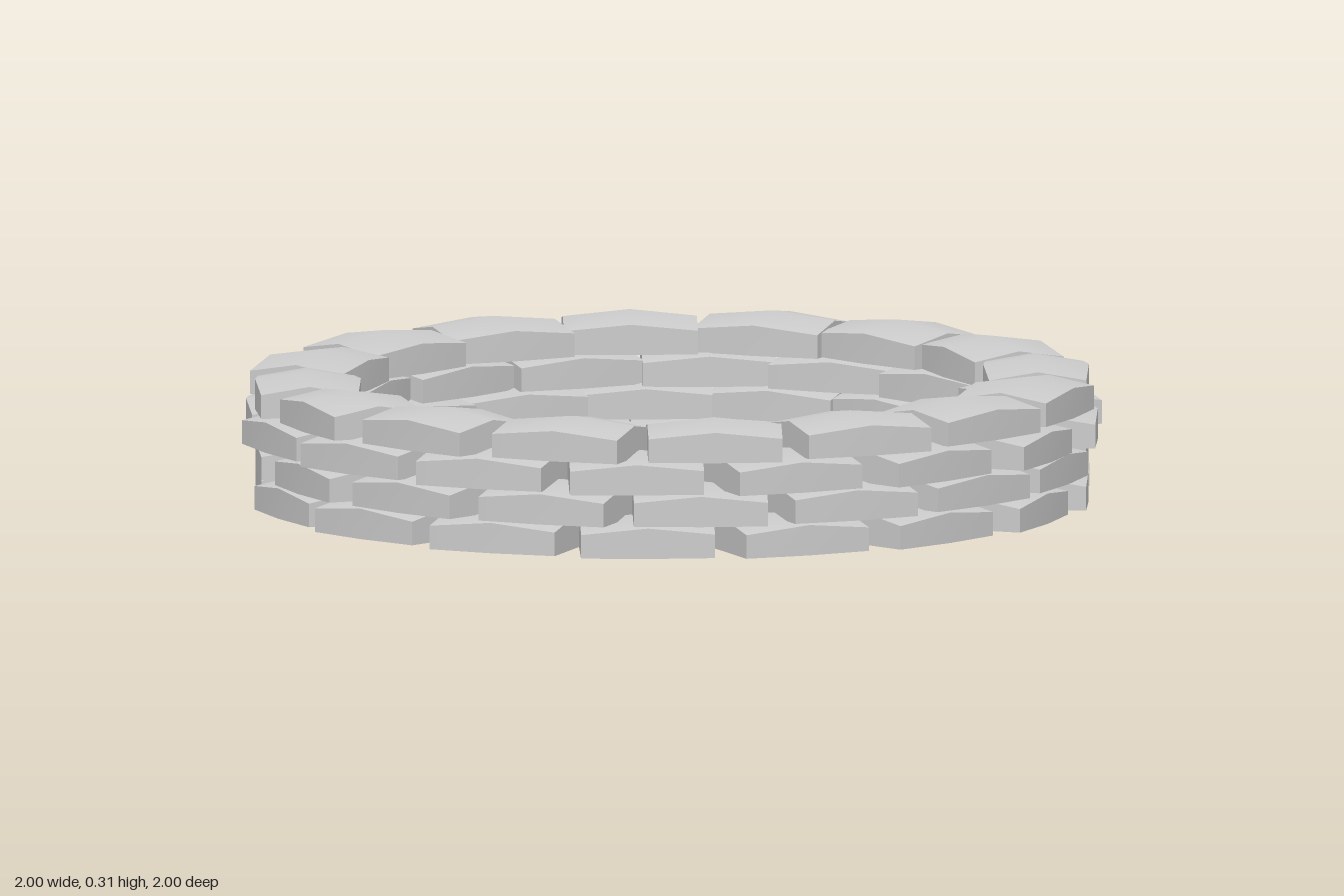
import * as THREE from 'three';

const WIDTH = 0.31, DEPTH = 0.245, HEIGHT = 0.09;
const STONES = 16;

// Domed stone shell, open underneath, with its front and back bulging slightly
function stoneGeometry() {
  const geo = new THREE.BoxGeometry(WIDTH, HEIGHT, DEPTH, 2, 1, 2);
  const bottom = geo.groups[3];
  const index = Array.from(geo.index.array);
  index.splice(bottom.start, bottom.count);
  geo.setIndex(index);
  geo.clearGroups();
  const p = geo.attributes.position;
  for (let i = 0; i < p.count; i++) {
    const u = p.getX(i) / (WIDTH / 2), v = p.getZ(i) / (DEPTH / 2);
    const top = 0.055 + 0.016 * (1 - u * u) + 0.019 * (1 - v * v);
    p.setY(i, p.getY(i) > 0 ? top : 0);
    p.setZ(i, v * (DEPTH / 2 - 0.01 * u * u));
  }
  geo.computeVertexNormals();
  return geo;
}

export function createModel() {
  const model = new THREE.Group();
  model.name = 'stoneRing';
  const material = new THREE.MeshStandardMaterial({ color: 0xcccccc, side: THREE.DoubleSide });
  const geometry = stoneGeometry();

  // Courses from the ground up: sideways shift of the stones and outer radii
  const courses = [
    { shift: -0.075, rx: 0.96, rz: 0.975 },
    { shift: 0.05, rx: 0.962, rz: 0.985 },
    { shift: -0.105, rx: 0.982, rz: 0.985 },
    { shift: 0.085, rx: 0.963, rz: 0.99 },
  ];
  courses.forEach(({ shift, rx, rz }, row) => {
    const course = new THREE.Group();
    course.name = `stoneCourse${row + 1}`;
    course.position.y = row * 0.075;
    for (let i = 0; i < STONES; i++) {
      const a = (i / STONES) * Math.PI * 2;
      const s = Math.sin(a), c = Math.cos(a);
      const stone = new THREE.Mesh(geometry, material);
      stone.name = 'stone';
      stone.rotation.y = a;
      stone.position.set(
        s * (rx - DEPTH / 2) + c * shift, 0,
        c * (rz - DEPTH / 2) - s * shift);
      course.add(stone);
    }
    model.add(course);
  });
  return model;
}
